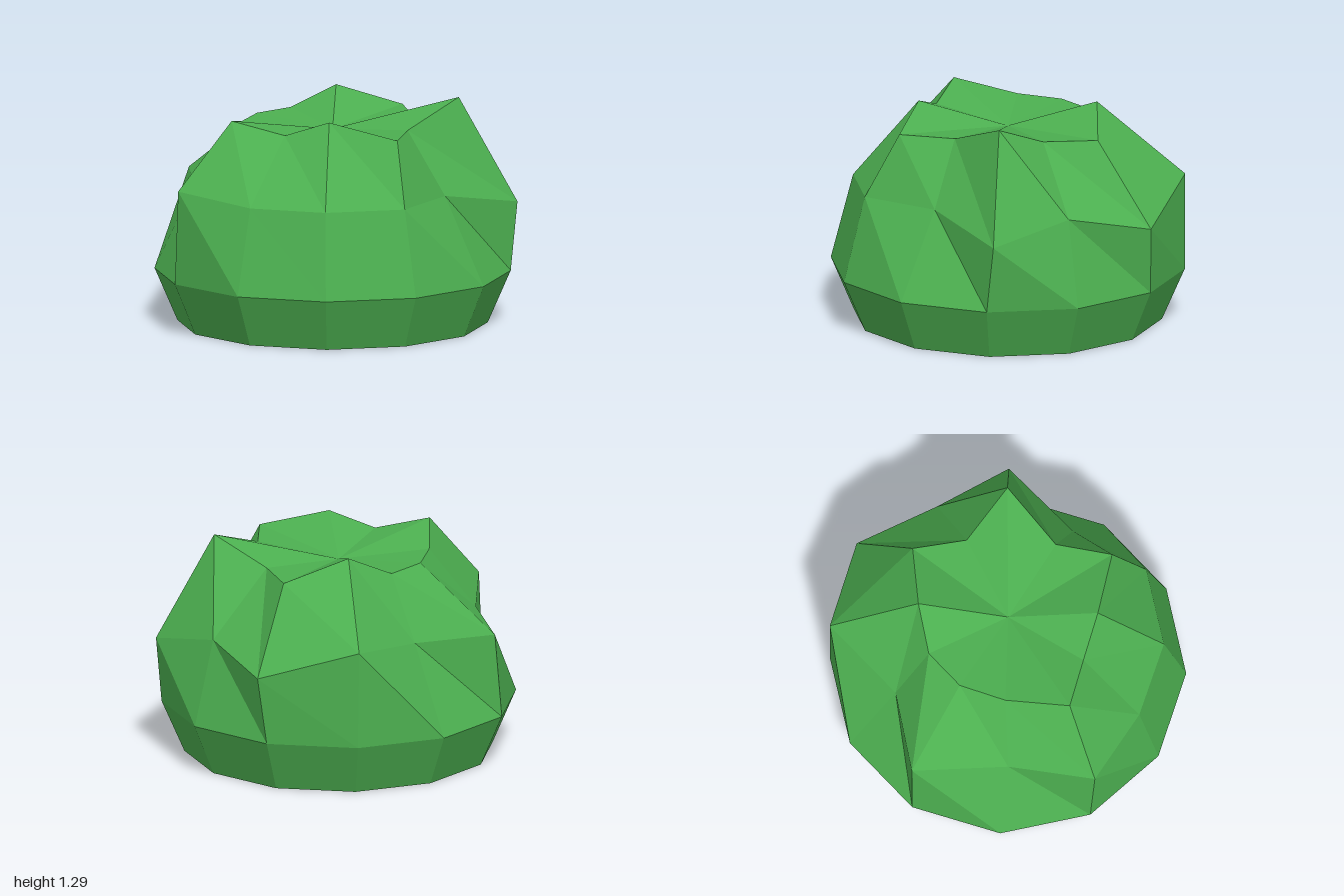
import * as THREE from 'three';

const SIDES = 12;
const CENTER_X = -0.02;

// Regular twelve-sided ring at height y
function regularRing(radius, y) {
  return Array.from({ length: SIDES }, (_, k) => {
    const a = ((k + 0.5) / SIDES) * Math.PI * 2;
    return [CENTER_X + radius * Math.cos(a), y, radius * Math.sin(a)];
  });
}

// Irregular ring: corners as [x, z] with an optional own height
function bumpyRing(y, corners) {
  return corners.map(([x, z, ownY = y]) => [x, ownY, z]);
}

// Loft the rings and close both ends with fans
function loft(rings, bottomY, topY) {
  const positions = [];
  const tri = (...corners) => corners.forEach((c) => positions.push(...c));
  const bottom = [CENTER_X, bottomY, 0];
  const top = [CENTER_X, topY, 0];
  const last = rings[rings.length - 1];
  for (let k = 0; k < SIDES; k++) {
    const n = (k + 1) % SIDES;
    for (let r = 0; r < rings.length - 1; r++) {
      const lower = rings[r];
      const upper = rings[r + 1];
      tri(lower[k], upper[k], upper[n]);
      tri(lower[k], upper[n], lower[n]);
    }
    tri(rings[0][k], rings[0][n], bottom);
    tri(last[k], top, last[n]);
  }
  const geometry = new THREE.BufferGeometry();
  geometry.setAttribute('position', new THREE.Float32BufferAttribute(positions, 3));
  geometry.computeVertexNormals(); // unshared corners give faceted normals
  return geometry;
}

export function createModel() {
  const group = new THREE.Group();
  group.name = 'bush';

  const leafGreen = new THREE.MeshStandardMaterial({ color: 0x4caf50 });
  leafGreen.name = 'leaf green';

  // Shoulder of the bush, with a few corners pushed in or out
  const shoulder = bumpyRing(0.79, [
    [0.83, 0.23], [0.75, 0.71, 0.69], [0.2, 0.7], [-0.25, 0.85],
    [-0.65, 0.62], [-0.87, 0.23], [-1, -0.23, 0.84], [-0.6, -0.53],
    [-0.25, -0.95], [0.16, -0.7], [0.69, -0.72, 0.86], [1, -0.23, 0.69],
  ]);

  // Crown rim, with four raised tufts
  const crown = bumpyRing(1.15, [
    [0.47, 0.13], [0.51, 0.48, 1.29], [0.11, 0.485], [-0.15, 0.68],
    [-0.38, 0.36, 1.24], [-0.51, 0.13], [-0.68, -0.13, 1.22], [-0.39, -0.36],
    [-0.15, -0.49], [0.11, -0.49], [0.34, -0.36, 1.27], [0.64, -0.13],
  ]);

  // Foliage: flat base, flared skirt, shoulder, crown and sunken top
  const rings = [regularRing(0.88, 0), regularRing(1.01, 0.3), shoulder, crown];
  const foliage = new THREE.Mesh(loft(rings, 0, 1.11), leafGreen);
  foliage.name = 'foliage';
  group.add(foliage);

  return group;
}
